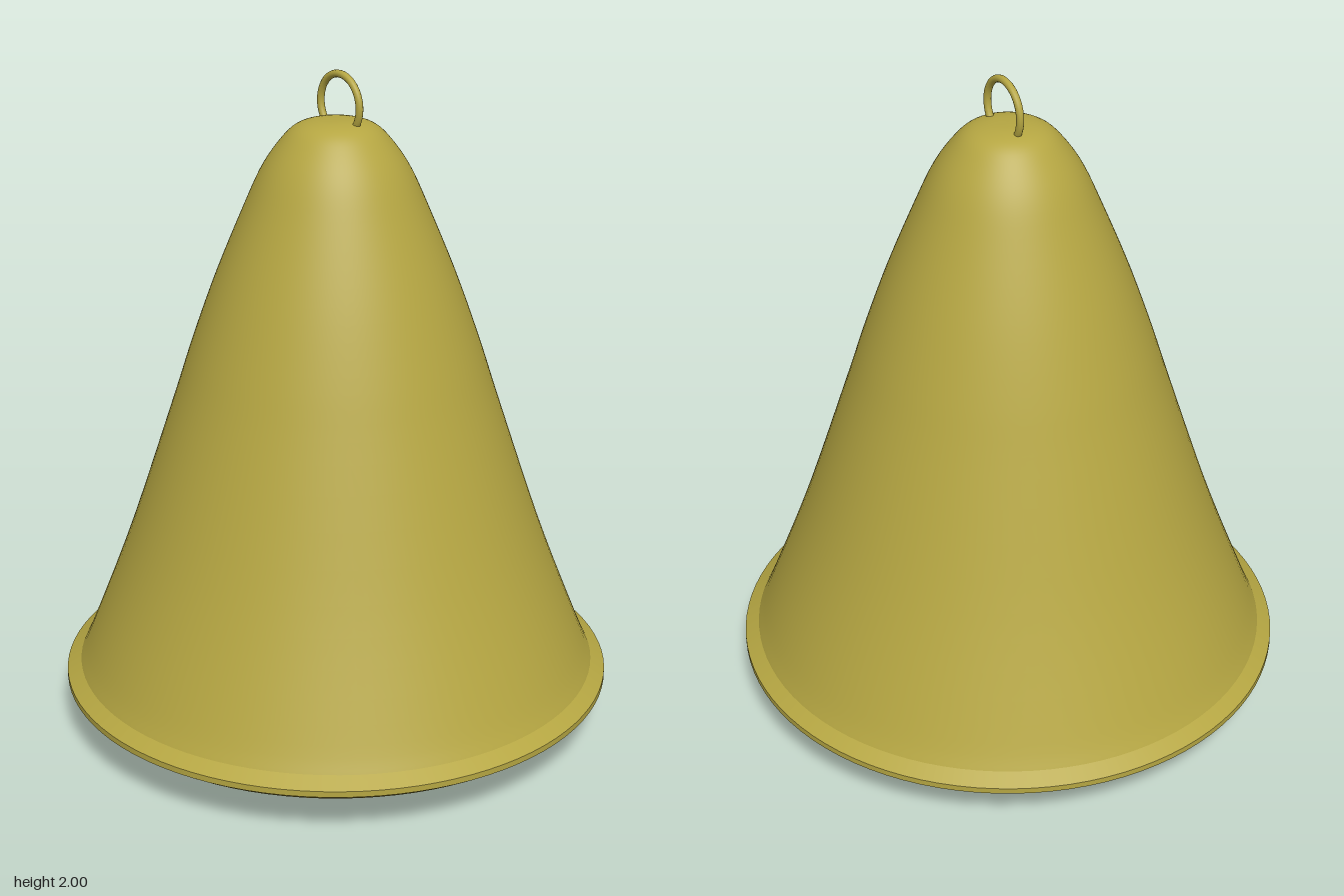
import * as THREE from 'three';

const brass = new THREE.MeshStandardMaterial({ color: 0xb5a642, side: THREE.DoubleSide });

function part(group, name, geometry) {
  const mesh = new THREE.Mesh(geometry, brass);
  mesh.name = name;
  group.add(mesh);
  return mesh;
}

const points = (list) => list.map(([r, y]) => new THREE.Vector2(r, y));

export function createModel() {
  const bell = new THREE.Group();
  bell.name = 'bell';

  // Flared shell, smooth from the shoulder above the lip up to the crown
  const shell = new THREE.SplineCurve(points([
    [0.79, 0.19], [0.75, 0.28], [0.625, 0.6], [0.49, 1.0], [0.425, 1.2], [0.353, 1.4],
    [0.27, 1.6], [0.215, 1.72], [0.16, 1.8], [0.115, 1.842], [0.06, 1.859], [0, 1.862],
  ])).getPoints(48);
  shell[shell.length - 1].x = 0;
  part(bell, 'shell', new THREE.LatheGeometry(shell, 96));

  // Inner wall, a little inside the shell
  const inner = shell.map((p) => new THREE.Vector2(Math.max(p.x - 0.012, 0), p.y - 0.008)).reverse();
  inner.push(new THREE.Vector2(0.785, 0.12));
  part(bell, 'innerWall', new THREE.LatheGeometry(inner, 96));

  // Lip: separate bands keep its edges crisp
  const lip = [[0.785, 0.12], [0.797, 0.12], [0.833, 0.145], [0.833, 0.163], [0.79, 0.19]];
  for (let i = 0; i < lip.length - 1; i++) {
    part(bell, 'lipBand' + (i + 1), new THREE.LatheGeometry(points([lip[i], lip[i + 1]]), 96));
  }

  // Hanging loop on the crown
  const loop = part(bell, 'hangingLoop', new THREE.TorusGeometry(0.088, 0.011, 12, 48));
  loop.position.set(0.002, 1.901, -0.013);

  // Clapper swung to one side: rod and ball
  const top = new THREE.Vector3(0, 1.84, 0);
  const ballCentre = new THREE.Vector3(0.435, 0.162, 0);
  part(bell, 'clapperRod', new THREE.TubeGeometry(new THREE.LineCurve3(top, ballCentre), 1, 0.02, 16));
  part(bell, 'clapperBall', new THREE.SphereGeometry(0.16, 40, 28)).position.copy(ballCentre);

  return bell;
}
